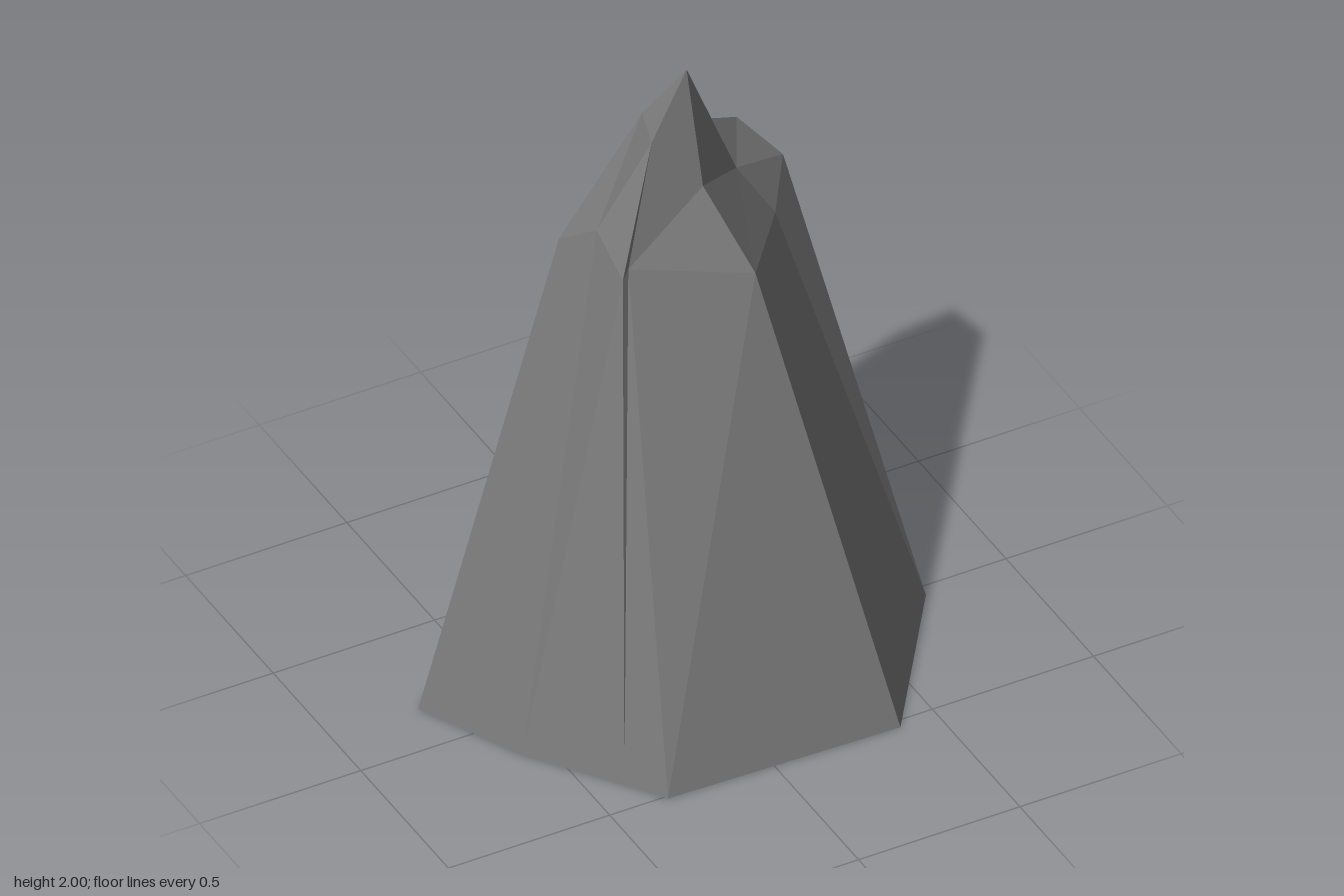
import * as THREE from 'three';

// Corner rings run counterclockwise seen from above, starting at the left side.
const v = (x, y, z) => new THREE.Vector3(x, y, z);

const base = [
  v(-0.58, 0, 0.15), v(-0.4, 0, 0.4), v(-0.325, 0, 0.51), v(0.385, 0, 0.53), v(0.73, 0, 0.04),
  v(0.575, 0, -0.42), v(0.225, 0, -0.5), v(-0.09, 0, -0.53), v(-0.395, 0, -0.43), v(-0.73, 0, -0.17),
];

const shoulder = [
  v(-0.26, 1.57, -0.015), v(-0.25, 1.48, 0.115), v(-0.225, 1.5, 0.1), v(0.115, 1.43, 0.2), v(0.35, 1.34, -0.12),
  v(0.45, 1.41, -0.26), v(0.35, 1.52, -0.34), v(0.2, 1.47, -0.345), v(-0.015, 1.54, -0.24), v(-0.31, 1.475, -0.14),
];

// The crown has five corners; several shoulder corners share one.
const rear = v(-0.08, 1.855, -0.09);
const left = v(-0.12, 1.855, 0.04);
const front = v(0.02, 1.68, 0.075);
const notch = v(0.24, 1.52, -0.14);
const ridge = v(0.12, 1.69, -0.195);
const crown = [rear, left, left, front, notch, notch, notch, ridge, ridge, rear];
const tip = v(0.03, 2, -0.037);

// Joins two rings with triangles, leaving out those that collapse at shared corners.
function stitch(lower, upper) {
  const points = [];
  const face = (a, b, c) => {
    if (a !== b && b !== c && c !== a) points.push(a, b, c);
  };
  lower.forEach((a, i) => {
    const j = (i + 1) % lower.length;
    face(a, lower[j], upper[j]);
    face(a, upper[j], upper[i]);
  });
  const geometry = new THREE.BufferGeometry().setFromPoints(points);
  geometry.computeVertexNormals();
  return geometry;
}

export function createModel() {
  const stone = new THREE.MeshStandardMaterial({ color: 0x7a7a7a, flatShading: true, side: THREE.DoubleSide });
  stone.name = 'grey stone';

  const group = new THREE.Group();
  group.name = 'rockSpire';

  const add = (name, lower, upper) => {
    const mesh = new THREE.Mesh(stitch(lower, upper), stone);
    mesh.name = name;
    group.add(mesh);
  };

  // Tapering sides, open underneath
  add('rockSides', base, shoulder);
  // Sloping ledge around the peak
  add('rockShoulder', shoulder, crown);
  // Pointed peak
  add('rockPeak', crown, crown.map(() => tip));

  return group;
}
